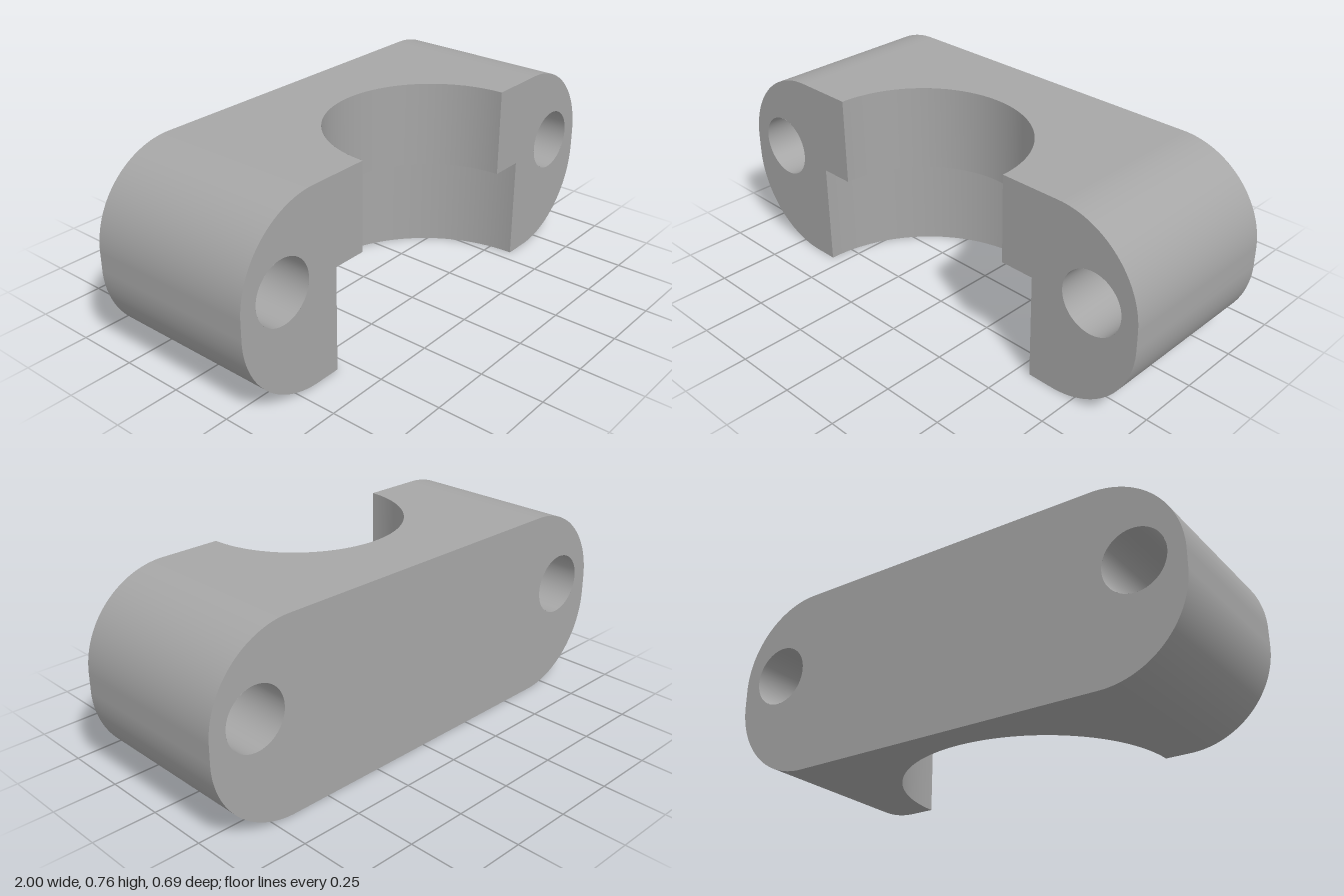
import * as THREE from 'three';

const H = 0.76, D = 0.345;          // height, half depth
const CORNER = 0.345;               // radius of the rounded ends
const STEP = 0.415;                 // height of the ledge in the recess
const R_TOP = 0.415, R_LOW = 0.553; // recess radii
const HOLE = { x: 0.81, y: 0.435, r: 0.123 };
const FLAT = 1 - CORNER;

// Rounded end, from the bottom edge up to the top edge
function endCurve(shape, s) {
  const a = s > 0 ? 0 : Math.PI, q = s * Math.PI / 2;
  shape.absarc(s * FLAT, CORNER, CORNER, a - q, a, s < 0);
  shape.absarc(s * FLAT, H - CORNER, CORNER, a, a + q, s < 0);
}

function addHole(shape, s) {
  const hole = new THREE.Path();
  hole.absarc(s * HOLE.x, HOLE.y, HOLE.r, 0, Math.PI * 2, true);
  shape.holes.push(hole);
}

// Full back face with both bolt holes
function backFace() {
  const shape = new THREE.Shape();
  shape.moveTo(-FLAT, 0);
  shape.lineTo(FLAT, 0);
  endCurve(shape, 1);
  shape.lineTo(-FLAT, H);
  shape.absarc(-FLAT, H - CORNER, CORNER, Math.PI / 2, Math.PI, false);
  shape.absarc(-FLAT, CORNER, CORNER, Math.PI, Math.PI * 1.5, false);
  addHole(shape, 1);
  addHole(shape, -1);
  return new THREE.ShapeGeometry(shape, 32).rotateY(Math.PI).translate(0, 0, -D);
}

// Front face of one ear, stepped where the recess begins
function earFace(s) {
  const shape = new THREE.Shape();
  shape.moveTo(s * R_LOW, 0);
  shape.lineTo(s * FLAT, 0);
  endCurve(shape, s);
  shape.lineTo(s * R_TOP, H);
  shape.lineTo(s * R_TOP, STEP);
  shape.lineTo(s * R_LOW, STEP);
  addHole(shape, s);
  return new THREE.ShapeGeometry(shape, 32).translate(0, 0, D);
}

// Flat top with a half-round bite in its front edge
function bittenFace(r) {
  const shape = new THREE.Shape();
  shape.moveTo(-FLAT, -D);
  shape.lineTo(-r, -D);
  shape.absarc(0, -D, r, Math.PI, 0, true);
  shape.lineTo(FLAT, -D);
  shape.lineTo(FLAT, D);
  shape.lineTo(-FLAT, D);
  return new THREE.ShapeGeometry(shape, 48).rotateX(-Math.PI / 2);
}

// Smooth wall around the right-hand rounded end
function endWall() {
  const path = new THREE.Path();
  endCurve(path, 1);
  const pts = path.getPoints(24);
  const pos = [], idx = [];
  pts.forEach((p, i) => {
    pos.push(p.x, p.y, D, p.x, p.y, -D);
    if (i) {
      const a = 2 * (i - 1);
      idx.push(a, a + 1, a + 3, a, a + 3, a + 2);
    }
  });
  const g = new THREE.BufferGeometry();
  g.setAttribute('position', new THREE.Float32BufferAttribute(pos, 3));
  g.setIndex(idx);
  g.computeVertexNormals();
  return g;
}

// Half-cylinder wall of the recess
function recessWall(r, y0, y1) {
  return new THREE.CylinderGeometry(r, r, y1 - y0, 48, 1, true, Math.PI / 2, Math.PI)
    .translate(0, (y0 + y1) / 2, D);
}

// Downward-facing crescent between the two recess radii
function ledge() {
  return new THREE.RingGeometry(R_TOP, R_LOW, 48, 1, Math.PI, Math.PI)
    .rotateX(Math.PI / 2).translate(0, STEP, D);
}

export function createModel() {
  const model = new THREE.Group();
  model.name = 'clampBracket';
  const grey = new THREE.MeshStandardMaterial({ color: 0xa6a6a6, side: THREE.DoubleSide });
  grey.name = 'grey';

  const add = (name, geometry) => {
    const mesh = new THREE.Mesh(geometry, grey);
    mesh.name = name;
    model.add(mesh);
  };

  add('backFace', backFace());
  add('topFace', bittenFace(R_TOP).translate(0, H, 0));
  add('bottomFace', bittenFace(R_LOW).rotateZ(Math.PI));
  add('upperRecess', recessWall(R_TOP, STEP, H));
  add('lowerRecess', recessWall(R_LOW, 0, STEP));
  add('recessLedge', ledge());

  // Ears with their rounded ends and bolt holes
  for (const [side, s] of [['left', 1], ['right', -1]]) {
    add(side + 'EarFace', earFace(s));
    add(side + 'EndWall', s > 0 ? endWall() : endWall().rotateY(Math.PI));
    add(side + 'BoltHole', new THREE.CylinderGeometry(HOLE.r, HOLE.r, 2 * D, 48, 1, true)
      .rotateX(Math.PI / 2).translate(s * HOLE.x, HOLE.y, 0));
  }
  return model;
}
